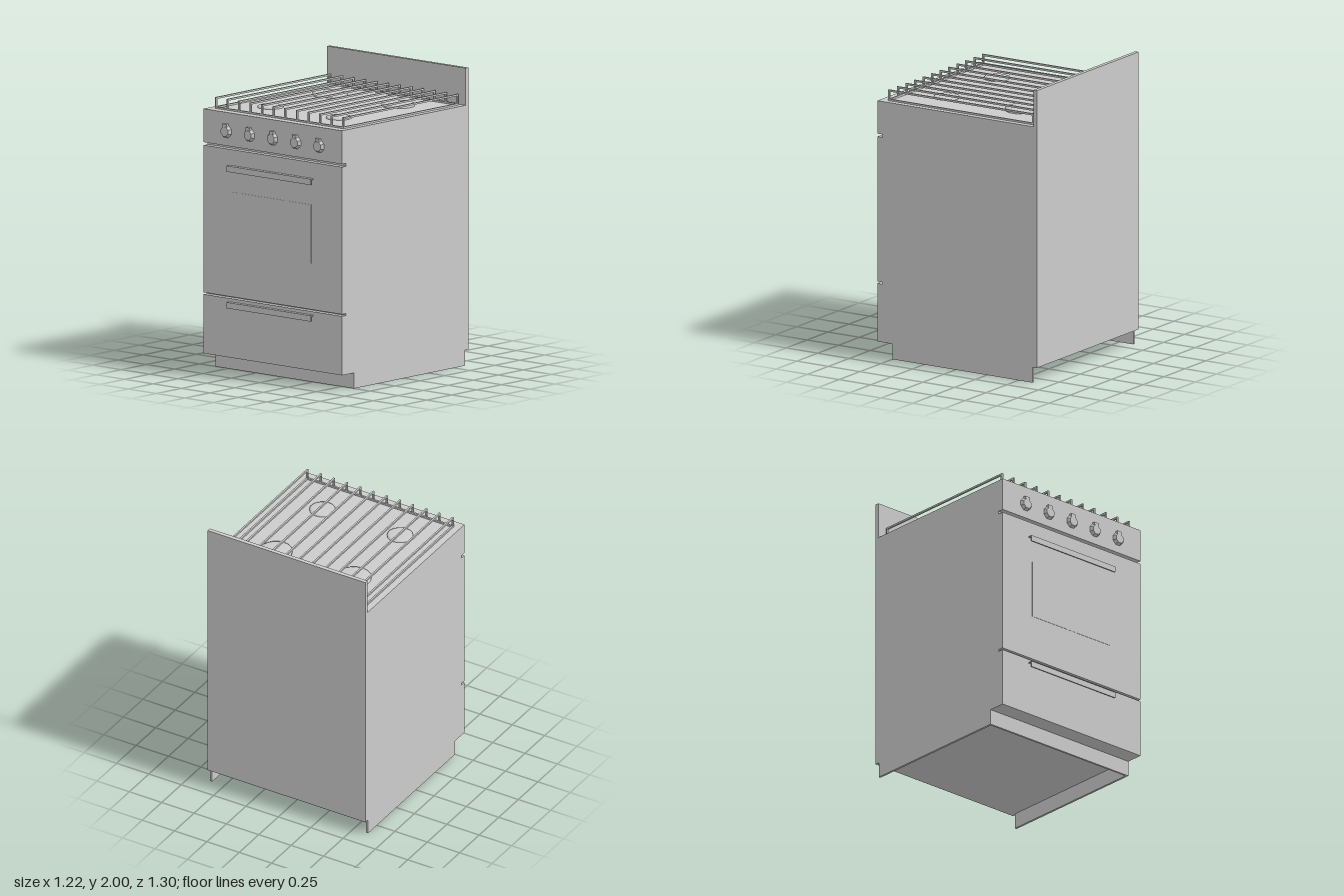
import * as THREE from 'three';

const grey = new THREE.MeshStandardMaterial({ color: 0xcccccc, side: THREE.DoubleSide });
const flat = new THREE.MeshStandardMaterial({ color: 0xcccccc, flatShading: true });

export function createModel() {
  const root = new THREE.Group();

  const add = (name, geometry, material = grey, parent = root) => {
    const mesh = new THREE.Mesh(geometry, material);
    mesh.name = name;
    parent.add(mesh);
    return mesh;
  };

  // Box given by its minimum and maximum on each axis
  const box = (name, [x0, x1], [y0, y1], [z0, z1], parent = root) => {
    const mesh = add(name, new THREE.BoxGeometry(x1 - x0, y1 - y0, z1 - z0), grey, parent);
    mesh.position.set((x0 + x1) / 2, (y0 + y1) / 2, (z0 + z1) / 2);
    return mesh;
  };

  const group = (name) => {
    const g = new THREE.Group();
    g.name = name;
    root.add(g);
    return g;
  };

  const W = 0.61;
  const full = [-W, W];

  // Cabinet, splash back, control panel, door and drawer
  box('body', full, [0.105, 1.75], [-0.645, 0.58]);
  box('backsplash', full, [1.75, 2], [-0.645, -0.617]);
  box('controlPanel', full, [1.525, 1.75], [0.58, 0.62]);
  box('ovenDoor', full, [0.515, 1.505], [0.58, 0.62]);
  box('drawer', full, [0.105, 0.502], [0.58, 0.62]);
  box('doorWindow', [-0.35, 0.34], [0.825, 1.22], [0.615, 0.622]);

  // Plinth: front and two sides, open at the back and below
  const plinth = group('plinth');
  const t = 0.015;
  box('plinthFront', full, [0, 0.105], [0.5 - t, 0.5], plinth);
  for (const s of [-1, 1]) {
    const side = box('plinthSide', [-t / 2, t / 2], [0, 0.105], [-0.612, 0.5 - t], plinth);
    side.position.x = s * (W - t / 2);
  }

  // Hooked strip handles
  const hook = new THREE.Shape([
    [0.615, 0], [0.65, 0], [0.65, -0.04], [0.643, -0.04], [0.643, -0.007], [0.615, -0.007],
  ].map(([z, y]) => new THREE.Vector2(-z, y)));
  const handleGeometry = new THREE.ExtrudeGeometry(hook, { depth: 0.74, bevelEnabled: false });
  handleGeometry.rotateY(Math.PI / 2);
  for (const [name, y] of [['doorHandle', 1.398], ['drawerHandle', 0.48]]) {
    add(name, handleGeometry).position.set(-0.38, y, 0);
  }

  // Eight-sided tapered knobs with a pointer on top
  const knobGeometry = new THREE.CylinderGeometry(0.034, 0.046, 0.022, 8);
  knobGeometry.rotateY(Math.PI / 8).rotateX(Math.PI / 2);
  for (let i = 0; i < 5; i++) {
    const knob = group('knob');
    knob.position.set((i - 2) * 0.204, 1.622, 0.62);
    add('knobDial', knobGeometry, flat, knob).position.z = 0.011;
    box('knobPointer', [-0.018, 0.018], [0, 0.052], [0, 0.02], knob);
  }

  // Low domed burners: x, z, radius, height
  const burners = [
    [-0.315, -0.31, 0.12, 0.02], [0.285, -0.31, 0.11, 0.027],
    [-0.315, 0.285, 0.086, 0.016], [0.285, 0.285, 0.086, 0.016],
  ];
  for (const [x, z, r, h] of burners) {
    const profile = [[r, 0], [r, h * 0.6], [r * 0.85, h * 0.85], [r * 0.5, h], [0, h]]
      .map(([a, b]) => new THREE.Vector2(a, b));
    add('burner', new THREE.LatheGeometry(profile, 18)).position.set(x, 1.75, z);
  }

  // Rack: a low frame carrying twelve raised bars
  const rack = group('rack');
  const b = 0.012, back = -0.592, front = 0.56, left = -0.564, right = 0.57;
  for (const z of [back, front - b]) box('frameRail', [left, right], [1.75, 1.762], [z, z + b], rack);
  for (const x of [left, right - b]) box('frameSide', [x, x + b], [1.75, 1.762], [back, front], rack);
  for (let i = 0; i < 12; i++) {
    const x = left + (i * (right - left - b)) / 11;
    const xs = [x, x + b];
    box('rackBar', xs, [1.813, 1.825], [back, front], rack);
    for (const z of [back, front - b]) box('rackPost', xs, [1.755, 1.815], [z, z + b], rack);
  }

  return root;
}
